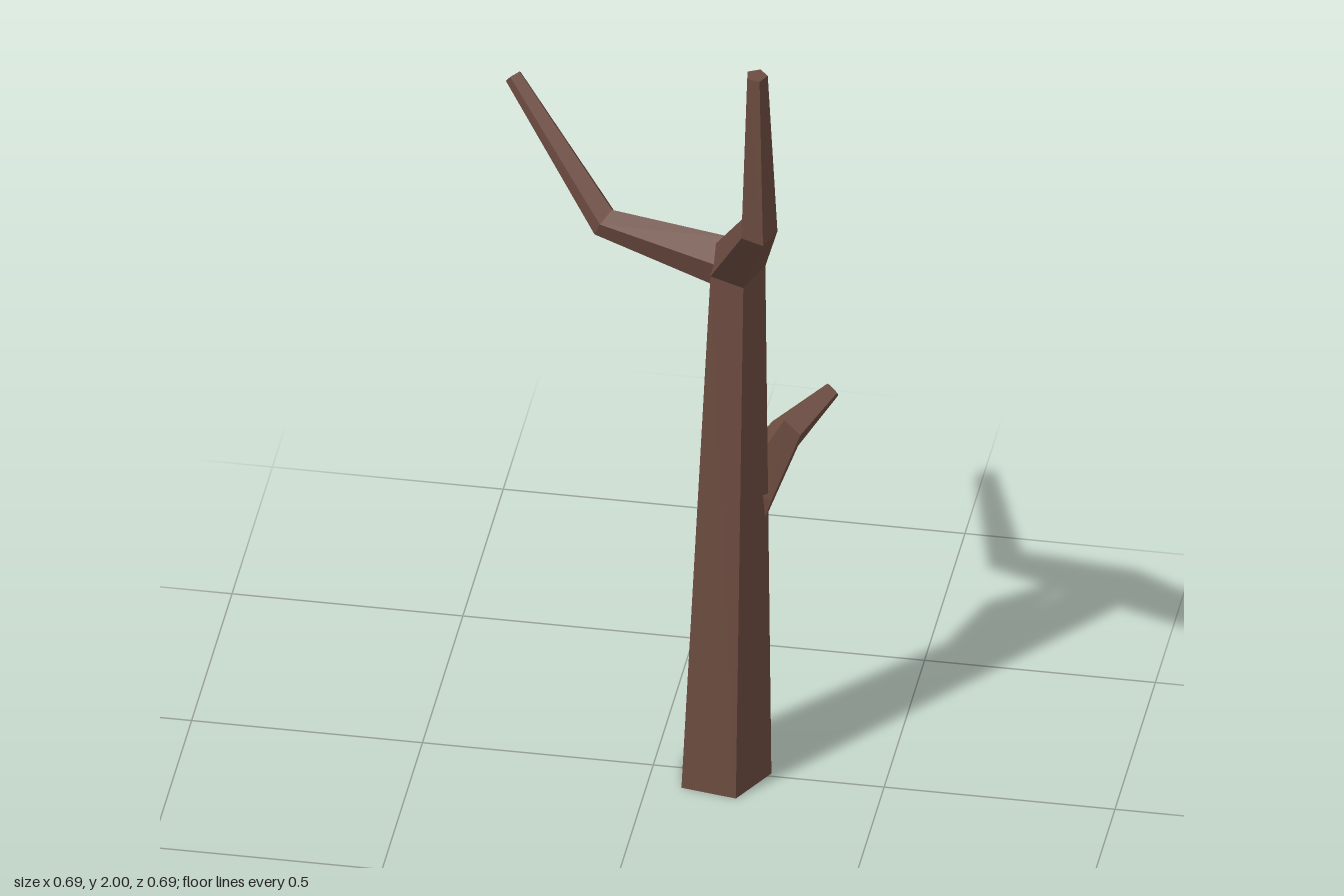
import * as THREE from 'three';

const SIDES = 5;
const vec = (a) => new THREE.Vector3(...a);

// Tapered five-sided limb. Each section is [x, y, z, radius]; the rings lie on
// the mitre plane at every bend and are carried along without twisting.
function limbGeometry(sections, reference, roll, firstNormal) {
  const centres = sections.map((s) => vec(s));
  const last = centres.length - 1;
  const dirs = centres.slice(1).map((c, i) => c.clone().sub(centres[i]).normalize());
  const normals = centres.map((_, i) =>
    dirs[Math.max(i - 1, 0)].clone().add(dirs[Math.min(i, last - 1)]).normalize());
  if (firstNormal) normals[0] = vec(firstNormal);

  const u = vec(reference).projectOnPlane(normals[0]).normalize();
  const rings = centres.map((c, i) => {
    if (i > 0) {
      u.applyQuaternion(new THREE.Quaternion().setFromUnitVectors(normals[i - 1], normals[i]));
    }
    const v = u.clone().cross(normals[i]);
    return Array.from({ length: SIDES }, (_, j) => {
      const t = roll + (j / SIDES) * Math.PI * 2;
      return c.clone()
        .addScaledVector(u, Math.cos(t) * sections[i][3])
        .addScaledVector(v, Math.sin(t) * sections[i][3]);
    });
  });

  const points = [];
  for (let j = 0; j < SIDES; j++) {
    const k = (j + 1) % SIDES;
    for (let i = 0; i < last; i++) {
      const a = rings[i][j], b = rings[i][k], c = rings[i + 1][k], d = rings[i + 1][j];
      points.push(a, d, c, a, c, b);
    }
    // End caps
    points.push(centres[0], rings[0][j], rings[0][k]);
    points.push(centres[last], rings[last][k], rings[last][j]);
  }
  const geometry = new THREE.BufferGeometry().setFromPoints(points);
  geometry.computeVertexNormals(); // unshared corners keep every facet flat
  return geometry;
}

export function createModel() {
  const group = new THREE.Group();
  group.name = 'bareTree';

  const bark = new THREE.MeshStandardMaterial({ color: 0x6d4c41 });
  bark.name = 'barkBrown';

  const addLimb = (name, ...args) => {
    const mesh = new THREE.Mesh(limbGeometry(...args), bark);
    mesh.name = name;
    group.add(mesh);
  };

  // Trunk, bending forward into the tallest branch
  addLimb('trunk', [
    [0.15, 0, 0.004, 0.105],
    [0.178, 1.3, 0, 0.064],
    [0.28, 1.596, 0.306, 0.042],
    [0.28, 2, 0.322, 0.024],
  ], [1, 0, 0], -0.14, [0, 1, 0]);

  // Upper branch reaching to the right
  addLimb('upperBranch', [
    [0.172, 1.303, -0.002, 0.062],
    [-0.11, 1.358, -0.028, 0.036],
    [-0.336, 1.597, -0.192, 0.02],
  ], [0, 1, 0], 0);

  // Short lower branch at the back
  addLimb('lowerBranch', [
    [0.195, 0.685, -0.008, 0.066],
    [0.245, 0.712, -0.256, 0.04],
    [0.331, 0.78, -0.334, 0.018],
  ], [0, 1, 0], 0);

  return group;
}
